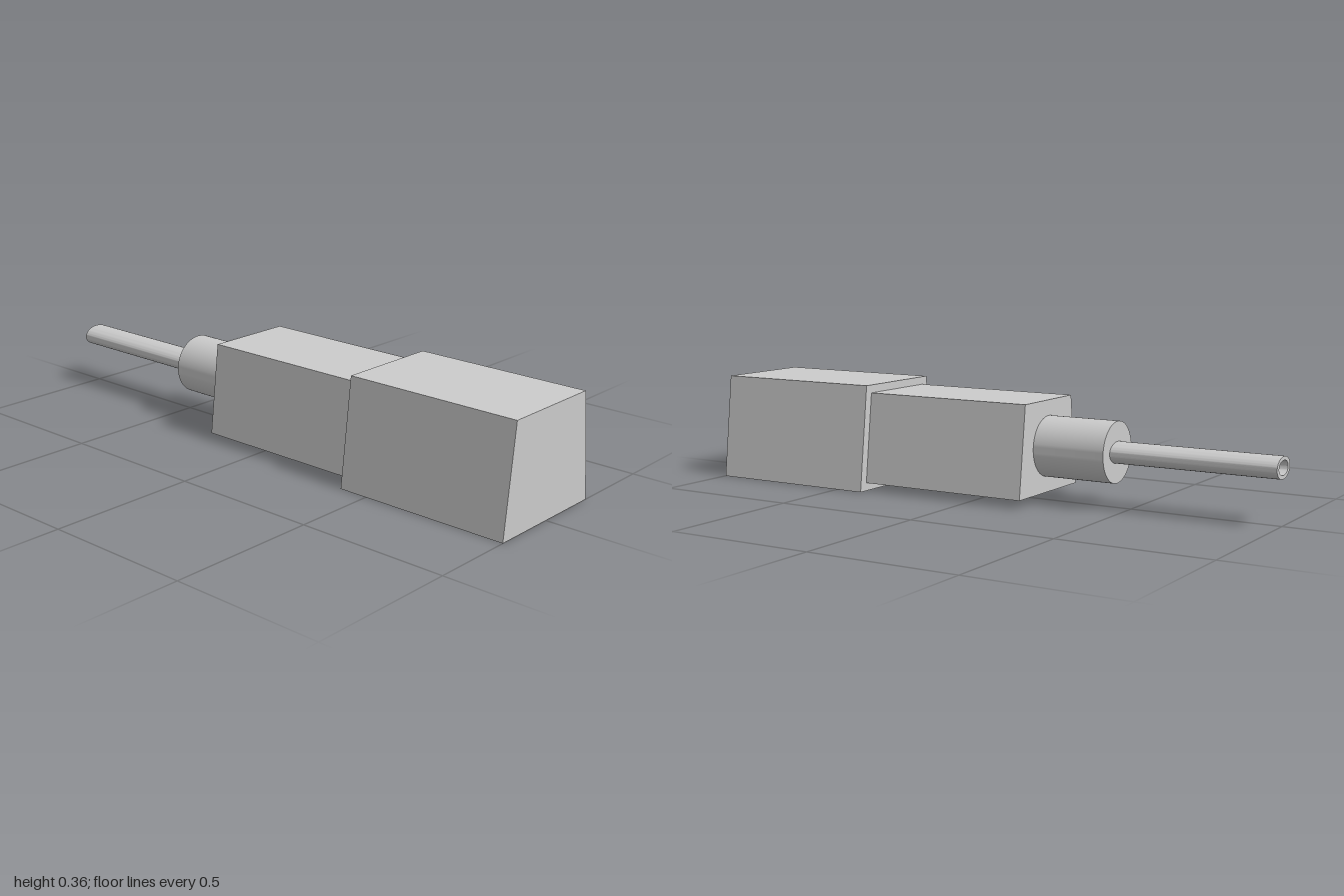
import * as THREE from 'three';
import { toCreasedNormals } from 'three/addons/utils/BufferGeometryUtils.js';

const MID = 0.178; // height of the common axis

export function createModel() {
  const group = new THREE.Group();
  const material = new THREE.MeshStandardMaterial({ color: 0xcccccc });

  // Extrudes a profile, centred on the axis, from z0 to z1
  function addPart(name, shape, z0, z1) {
    const extruded = new THREE.ExtrudeGeometry(shape, { depth: z1 - z0, bevelEnabled: false, curveSegments: 32 });
    const mesh = new THREE.Mesh(toCreasedNormals(extruded, 0.6), material);
    mesh.name = name;
    mesh.position.set(0, MID, z0);
    group.add(mesh);
  }

  // Trapezoid, wider at the bottom
  const trapezoid = (s) => new THREE.Shape([
    new THREE.Vector2(-0.219 * s, -MID * s),
    new THREE.Vector2(0.219 * s, -MID * s),
    new THREE.Vector2(0.177 * s, MID * s),
    new THREE.Vector2(-0.177 * s, MID * s),
  ]);

  const oval = (Type, rx, ry) => new Type().absellipse(0, 0, rx, ry, 0, Math.PI * 2, false, 0);

  // Two stepped blocks
  addPart('frontBlock', trapezoid(1), 0.4, 1);
  addPart('rearBlock', trapezoid(0.85), -0.2, 0.4);

  // Round collar behind the blocks
  addPart('collar', oval(THREE.Shape, 0.1, 0.1), -0.45, -0.2);

  // Flattened hollow sleeve
  const sleeve = oval(THREE.Shape, 0.055, 0.035);
  sleeve.holes.push(oval(THREE.Path, 0.038, 0.023));
  addPart('cableSleeve', sleeve, -1, -0.45);

  return group;
}
